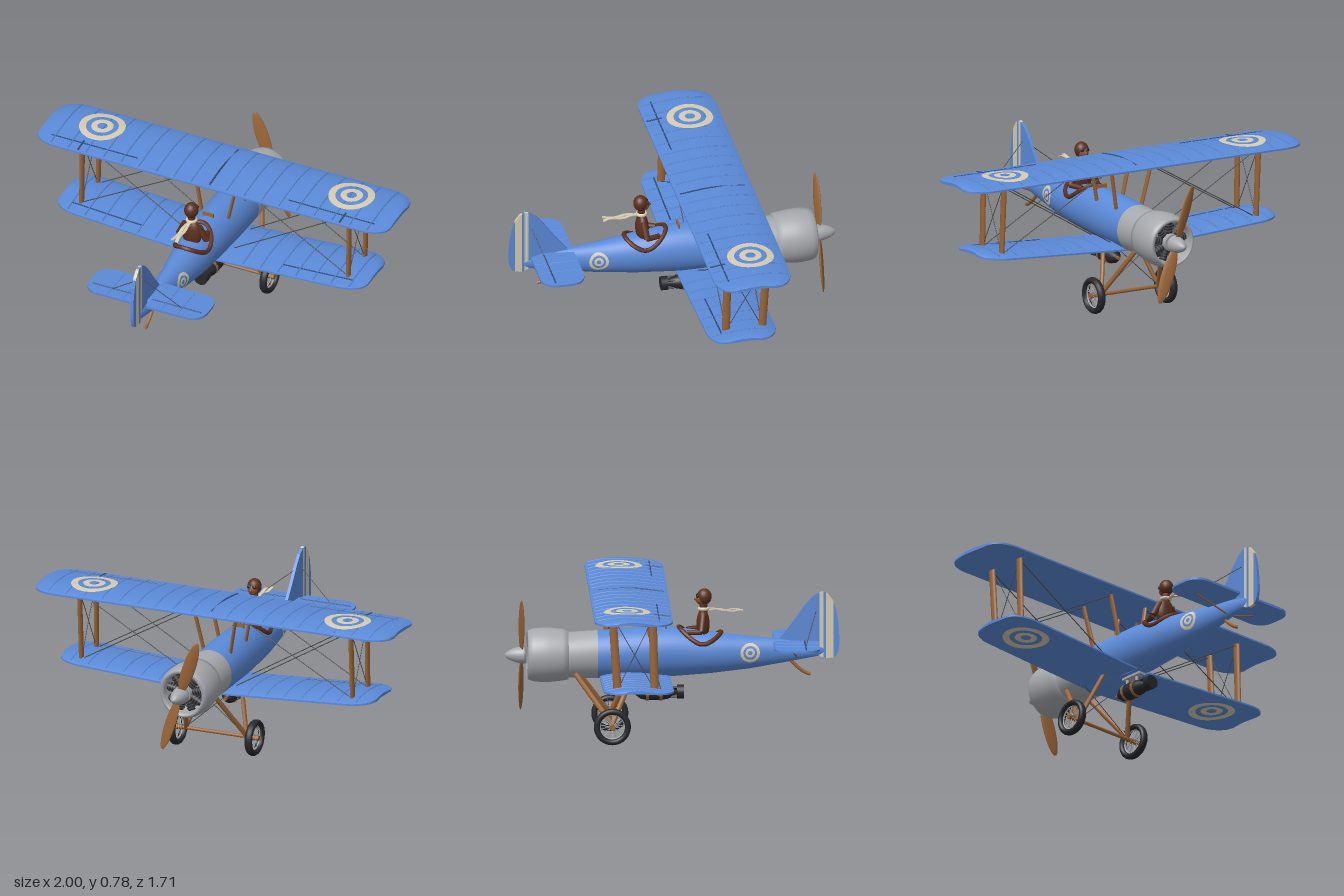
import * as THREE from 'three';
import { toCreasedNormals } from 'three/addons/utils/BufferGeometryUtils.js';

const paint = (name, color, side = THREE.FrontSide) => {
  const m = new THREE.MeshStandardMaterial({ color, side });
  m.name = name;
  return m;
};
const V = (x, y, z) => new THREE.Vector3(x, y, z);

export function createModel() {
  const blue = paint('blue fabric', 0x5b8ad8);
  const seam = paint('dark blue seam', 0x33507f);
  const cream = paint('cream', 0xd6ccb2, THREE.DoubleSide);
  const metal = paint('grey metal', 0xa6a9ad, THREE.DoubleSide);
  const wood = paint('wood', 0x9a6537);
  const leather = paint('brown leather', 0x5c301e);
  const skin = paint('skin', 0x8a5034);
  const black = paint('black', 0x28282d);
  const wire = paint('wire grey', 0x4a4a4c);

  const model = new THREE.Group();
  model.name = 'biplane';
  const add = (name, geo, mat, parent = model) => {
    const m = new THREE.Mesh(geo, mat);
    m.name = name;
    parent.add(m);
    return m;
  };
  const unitRod = new THREE.CylinderGeometry(1, 1, 1, 10);
  const rod = (name, a, b, rx, mat, rz = rx, parent = model) => {
    const m = add(name, unitRod, mat, parent), d = b.clone().sub(a);
    m.position.copy(a).add(b).multiplyScalar(0.5);
    m.scale.set(rx, d.length(), rz);
    m.quaternion.setFromUnitVectors(V(0, 1, 0), d.normalize());
    return m;
  };
  // Skin over a row of closed loops, with both ends capped
  const loft = (loops, crease = 0.7) => {
    const n = loops[0].length, idx = [], last = (loops.length - 1) * n;
    for (let j = 0; j < loops.length - 1; j++) for (let i = 0; i < n; i++) {
      const a = j * n + i, b = j * n + (i + 1) % n;
      idx.push(a, b, a + n, b, b + n, a + n);
    }
    for (let i = 1; i < n - 1; i++) idx.push(0, i + 1, i, last, last + i, last + i + 1);
    const g = new THREE.BufferGeometry().setFromPoints(loops.flat());
    g.setIndex(idx);
    return toCreasedNormals(g, crease);
  };
  const lerpTable = (rows, t) => {
    let k = 0;
    while (k < rows.length - 2 && t > rows[k + 1][0]) k++;
    const f = (t - rows[k][0]) / (rows[k + 1][0] - rows[k][0]);
    return rows[k].map((v, i) => v + (rows[k + 1][i] - v) * f);
  };
  const latheZ = (pts, seg = 40) =>
    new THREE.LatheGeometry(pts.map(p => new THREE.Vector2(...p)), seg).rotateX(Math.PI / 2);

  // Fuselage: z, top, bottom, half width
  const body = [[-0.56, 0.55, 0.318, 0.118], [-0.38, 0.56, 0.315, 0.118], [-0.2, 0.573, 0.315, 0.117],
    [0, 0.577, 0.322, 0.11], [0.2, 0.552, 0.337, 0.094], [0.4, 0.527, 0.36, 0.065],
    [0.6, 0.508, 0.395, 0.035], [0.78, 0.475, 0.428, 0.008]];
  const bodyLoop = z => {
    const [, t, b, w] = lerpTable(body, z);
    return Array.from({ length: 36 }, (_, i) => {
      const a = i / 18 * Math.PI;
      return V(w * Math.cos(a), (t + b) / 2 + (t - b) / 2 * Math.sin(a), z);
    });
  };
  add('nose panel', loft([-0.56, -0.47, -0.38].map(bodyLoop)), metal);
  add('fuselage', loft([-0.38, -0.2, 0, 0.1, 0.2, 0.3, 0.4, 0.5, 0.6, 0.7, 0.78].map(bodyLoop)), blue);

  // Cowling, radial engine, spinner and propeller
  const nose = new THREE.Group();
  nose.name = 'nose';
  nose.position.y = 0.435;
  model.add(nose);
  add('cowling', latheZ([[0.1, -0.58], [0.105, -0.72], [0.112, -0.742], [0.125, -0.735], [0.135, -0.71],
    [0.14, -0.66], [0.139, -0.62], [0.132, -0.56], [0.127, -0.53], [0.1, -0.53]]), metal, nose);
  add('firewall', new THREE.CylinderGeometry(0.11, 0.11, 0.02, 32).rotateX(Math.PI / 2), black, nose).position.z = -0.6;
  add('crankcase', new THREE.CylinderGeometry(0.045, 0.045, 0.13, 24).rotateX(Math.PI / 2), metal, nose).position.z = -0.67;
  for (let i = 0; i < 9; i++) {
    const a = i / 9 * Math.PI * 2, at = r => V(Math.sin(a) * r, Math.cos(a) * r, -0.69);
    rod('engineCylinder', at(0.03), at(0.1), 0.019, black, 0.019, nose);
    for (const r of [0.055, 0.07, 0.085]) rod('coolingFin', at(r), at(r + 0.005), 0.024, wire, 0.024, nose);
  }
  add('spinner', latheZ([[0, -0.855], [0.014, -0.848], [0.028, -0.825], [0.039, -0.795], [0.045, -0.76], [0.045, -0.745], [0, -0.745]]), metal, nose);
  const prop = new THREE.Group();
  prop.name = 'propeller';
  prop.position.z = -0.77;
  prop.rotation.z = 0.32;
  nose.add(prop);
  for (const s of [1, -1]) {
    const blade = add('propellerBlade', new THREE.SphereGeometry(1, 24, 16), wood, prop);
    blade.scale.set(0.034, 0.15, 0.009);
    blade.position.y = s * 0.165;
    blade.rotation.y = s * 0.35;
  }

  // Wings: cambered sections with rounded tips
  const wing = (name, tip, z0, z1, base) => {
    const edge = x => {
      const t = Math.min(1, (tip - Math.abs(x)) / 0.13), k = 1 - Math.sqrt(Math.max(0, 1 - (1 - t) ** 2));
      return [z0 + 0.1 * k, z1 - 0.08 * k];
    };
    const camber = (x, u) => 0.024 * Math.sin(Math.PI * u ** 0.75) * (edge(x)[1] - edge(x)[0]) / (z1 - z0);
    const uAt = (x, z) => (z - edge(x)[0]) / (edge(x)[1] - edge(x)[0]);
    const top = (x, z) => base(x) + camber(x, uAt(x, z)) + 0.009;
    const under = (x, z) => base(x) + camber(x, uAt(x, z)) * 0.5;
    const loop = x => {
      const [a, b] = edge(x), us = [0, 0.04, 0.12, 0.25, 0.4, 0.55, 0.7, 0.85, 1], z = u => a + (b - a) * u;
      return [...us.map(u => V(x, top(x, z(u)), z(u))), ...us.reverse().map(u => V(x, under(x, z(u)), z(u)))];
    };
    const build = (xa, xb) => {
      const xs = [0, 0.01, 0.03, 0.06, 0.1, 0.13].map(t => tip - t);
      const all = [...xs.map(x => -x), xa, xb, ...xs].filter(x => x >= xa && x <= xb);
      add(name, loft([...new Set(all)].sort((p, q) => p - q).map(loop)), blue);
    };
    // A thin line lying on the upper skin
    const line = (label, pts, r, mat) => add(label, new THREE.TubeGeometry(
      new THREE.CatmullRomCurve3(pts.map(([x, z]) => V(x, top(x, z), z))), 10, r, 5), mat);
    const rib = x => {
      const [a, b] = edge(x);
      line('wingRib', [0.03, 0.15, 0.3, 0.5, 0.75, 0.97].map(u => [x, a + (b - a) * u]), 0.004, blue);
    };
    return { build, top, under, line, rib };
  };
  const upper = wing('upperWing', 1, -0.42, -0.02, () => 0.746);
  upper.build(-1, 1);
  const lower = wing('lowerWing', 0.88, -0.37, -0.01, x => 0.326 + 0.06 * (Math.abs(x) - 0.12));
  lower.build(0.04, 0.88);
  lower.build(-0.88, -0.04);
  upper.line('centreSeam', [[0, -0.38], [0, -0.2], [0, -0.04]], 0.005, seam);

  // Roundels: two cream rings laid on a surface
  const roundel = (size, place) => {
    for (const [a, b] of [[0.7, 1], [0.22, 0.48]]) {
      const g = new THREE.RingGeometry(a * size, b * size, 40, 3), p = g.attributes.position;
      for (let i = 0; i < p.count; i++) p.setXYZ(i, ...place(p.getX(i), p.getY(i)));
      g.computeVertexNormals();
      add('roundel', g, cream);
    }
  };

  for (const s of [1, -1]) {
    for (let i = 1; i < 10; i++) upper.rib(s * i * 0.1);
    for (let i = 2; i < 9; i++) lower.rib(s * i * 0.1);
    upper.line('aileronHinge', [[s * 0.43, -0.09], [s * 0.92, -0.09]], 0.004, seam);
    upper.line('aileronHorn', [[s * 0.745, -0.11], [s * 0.745, -0.03]], 0.005, seam);
    lower.line('aileronHinge', [[s * 0.4, -0.08], [s * 0.8, -0.08]], 0.004, seam);
    roundel(0.12, (x, y) => [s * 0.71 + x, upper.top(s * 0.71 + x, -0.25 - y) + 0.004, -0.25 - y]);
    roundel(0.12, (x, y) => [s * 0.65 + x, lower.under(s * 0.65 + x, -0.19 + y) - 0.003, -0.19 + y]);
    roundel(0.05, (x, y) => {
      const z = 0.4 - s * x, [, t, b, w] = lerpTable(body, z);
      const k = (0.45 + y - (t + b) / 2) / ((t - b) / 2);
      return [s * (w * Math.sqrt(Math.max(0, 1 - k * k)) + 0.004), 0.45 + y, z];
    });

    // Interplane and cabane struts with bracing wires
    for (const [zl, zu] of [[-0.11, -0.12], [-0.3, -0.325]]) {
      rod('interplaneStrut', V(s * 0.76, 0.375, zl), V(s * 0.76, 0.755, zu), 0.011, wood, 0.021);
      rod('cabaneStrut', V(s * 0.075, 0.53, zl), V(s * 0.12, 0.755, zu), 0.008, wood, 0.014);
      rod('bracingWire', V(s * 0.11, 0.36, zl), V(s * 0.76, 0.75, zu), 0.0025, wire);
      rod('bracingWire', V(s * 0.12, 0.75, zu), V(s * 0.76, 0.38, zl), 0.0025, wire);
    }
    rod('strutWire', V(s * 0.76, 0.38, -0.11), V(s * 0.76, 0.75, -0.32), 0.002, wire);
    rod('strutWire', V(s * 0.76, 0.38, -0.3), V(s * 0.76, 0.75, -0.12), 0.002, wire);

    // Landing gear
    rod('gearStrut', V(s * 0.17, 0.1, -0.31), V(s * 0.09, 0.35, -0.2), 0.011, wood, 0.014);
    rod('gearStrut', V(s * 0.17, 0.1, -0.31), V(s * 0.08, 0.35, -0.495), 0.011, wood, 0.014);
    rod('gearWire', V(s * 0.17, 0.1, -0.31), V(-s * 0.09, 0.33, -0.35), 0.002, wire);
    const wheel = new THREE.Group();
    wheel.name = 'wheel';
    wheel.position.set(s * 0.215, 0.095, -0.31);
    model.add(wheel);
    add('tyre', new THREE.TorusGeometry(0.079, 0.016, 12, 40).rotateY(Math.PI / 2), black, wheel).scale.x = 1.3;
    add('rim', new THREE.TorusGeometry(0.064, 0.005, 8, 40).rotateY(Math.PI / 2), metal, wheel);
    rod('hub', V(-0.025, 0, 0), V(0.025, 0, 0), 0.014, wood, 0.014, wheel);
    for (let i = 0; i < 18; i++) {
      const a = i / 9 * Math.PI;
      rod('spoke', V(i % 2 ? 0.014 : -0.014, 0, 0), V(0, Math.cos(a) * 0.066, Math.sin(a) * 0.066), 0.0018, metal, 0.0018, wheel);
    }
    // Tail bracing
    rod('tailBrace', V(s * 0.02, 0.42, 0.64), V(s * 0.21, 0.495, 0.6), 0.004, wood);
    rod('tailWire', V(s * 0.2, 0.5, 0.68), V(0, 0.66, 0.74), 0.002, wire);
    rod('elevatorHinge', V(s * 0.03, 0.503, 0.68), V(s * 0.31, 0.503, 0.68), 0.004, seam);
    for (const x of [0.11, 0.2]) rod('tailRib', V(s * x, 0.502, 0.53), V(s * x, 0.502, 0.74), 0.004, blue);
  }
  rod('axle', V(-0.22, 0.095, -0.31), V(0.22, 0.095, -0.31), 0.009, wood);

  // Tailplane
  const t = new THREE.Shape();
  t.moveTo(-0.25, 0.52).lineTo(0.25, 0.52).quadraticCurveTo(0.335, 0.525, 0.335, 0.61).lineTo(0.335, 0.67)
    .quadraticCurveTo(0.33, 0.74, 0.26, 0.75).lineTo(0.03, 0.75).lineTo(0.015, 0.7).lineTo(-0.015, 0.7)
    .lineTo(-0.03, 0.75).lineTo(-0.26, 0.75).quadraticCurveTo(-0.33, 0.74, -0.335, 0.67)
    .lineTo(-0.335, 0.61).quadraticCurveTo(-0.335, 0.525, -0.25, 0.52);
  add('tailplane', new THREE.ExtrudeGeometry(t, { depth: 0.012, bevelEnabled: false, curveSegments: 8 })
    .rotateX(Math.PI / 2).translate(0, 0.503, 0), blue);

  // Fin and striped rudder, cut into upright slices: z, top, bottom
  const fin = [[0.55, 0.51, 0.49], [0.62, 0.6, 0.48], [0.68, 0.685, 0.46], [0.72, 0.73, 0.44], [0.75, 0.75, 0.425], [0.775, 0.756, 0.415],
    [0.8, 0.745, 0.41], [0.825, 0.712, 0.415], [0.842, 0.66, 0.425], [0.852, 0.6, 0.445], [0.858, 0.52, 0.48]];
  for (const [a, b, mat] of [[0.55, 0.757, blue], [0.757, 0.776, cream], [0.776, 0.79, blue], [0.79, 0.828, cream], [0.828, 0.858, blue]]) {
    const zs = [a, ...fin.map(r => r[0]).filter(z => z > a && z < b), b].map(z => lerpTable(fin, z));
    const s = new THREE.Shape([...zs.map(r => new THREE.Vector2(r[0], r[2])), ...zs.reverse().map(r => new THREE.Vector2(r[0], r[1]))]);
    add(mat === blue ? 'fin' : 'rudderStripe', new THREE.ExtrudeGeometry(s, { depth: 0.016, bevelEnabled: false })
      .rotateY(-Math.PI / 2).translate(0.008, 0, 0), mat);
  }
  add('tailSkid', new THREE.TubeGeometry(new THREE.CatmullRomCurve3([V(0, 0.41, 0.6), V(0, 0.37, 0.64), V(0, 0.34, 0.68), V(0, 0.328, 0.71)]), 10, 0.009, 8), wood);

  // Cockpit rim following the fuselage, and windscreen
  const rim = Array.from({ length: 24 }, (_, i) => {
    const a = i / 12 * Math.PI, z = 0.145 + 0.108 * Math.cos(a), [, tp, b, w] = lerpTable(body, z), x = 0.088 * Math.sin(a);
    return V(x, (tp + b) / 2 + (tp - b) / 2 * Math.sqrt(Math.max(0, 1 - (x / w) ** 2)) + 0.004, z);
  });
  add('cockpitRim', new THREE.TubeGeometry(new THREE.CatmullRomCurve3(rim, true), 48, 0.012, 8, true), leather);
  add('windscreen', new THREE.BoxGeometry(0.06, 0.025, 0.008), wood).position.set(0, 0.582, -0.03);

  // Pilot
  const ball = (name, x, y, z, sx, sy, sz, mat) => {
    const m = add(name, new THREE.SphereGeometry(1, 20, 14), mat);
    m.position.set(x, y, z);
    m.scale.set(sx, sy, sz);
  };
  ball('pilotTorso', 0, 0.59, 0.16, 0.055, 0.08, 0.034, leather);
  rod('pilotNeck', V(0, 0.65, 0.163), V(0, 0.71, 0.163), 0.02, leather);
  ball('pilotHelmet', 0, 0.733, 0.167, 0.037, 0.042, 0.038, leather);
  ball('pilotFace', 0, 0.722, 0.152, 0.028, 0.032, 0.03, skin);
  ball('pilotNose', 0, 0.722, 0.123, 0.007, 0.009, 0.01, skin);
  for (const s of [1, -1]) {
    ball('goggle', s * 0.014, 0.738, 0.132, 0.012, 0.01, 0.007, black);
    rod('pilotUpperArm', V(s * 0.04, 0.638, 0.16), V(s * 0.078, 0.56, 0.15), 0.017, leather);
    rod('pilotForearm', V(s * 0.078, 0.56, 0.15), V(s * 0.05, 0.555, 0.08), 0.014, leather);
    // Scarf tails
    add('scarfTail', loft([0.185, 0.22, 0.25, 0.28, 0.31, 0.34, 0.365].map((z, i) => {
      const x = s * (0.004 + i * 0.0012), y = 0.668 + 0.006 * Math.sin(i * 1.5 + s) - i * 0.0012;
      return [V(x + 0.009, y - 0.002, z), V(x + 0.009, y + 0.002, z), V(x - 0.009, y + 0.002, z), V(x - 0.009, y - 0.002, z)];
    })), cream);
  }
  add('scarf', new THREE.TorusGeometry(0.022, 0.009, 8, 20).rotateX(Math.PI / 2), cream).position.set(0, 0.67, 0.163);

  // Bomb on its rack
  const bomb = new THREE.Group();
  bomb.name = 'bomb';
  bomb.position.y = 0.24;
  model.add(bomb);
  add('bombBody', latheZ([[0, -0.19], [0.015, -0.186], [0.035, -0.16], [0.043, -0.12], [0.043, -0.06], [0.036, -0.02], [0.02, 0.02], [0.014, 0.06], [0, 0.06]], 28), black, bomb);
  rod('bombFuse', V(0, 0, -0.18), V(0, 0, -0.205), 0.01, wood, 0.01, bomb);
  add('tailRing', new THREE.CylinderGeometry(0.036, 0.036, 0.035, 24).rotateX(Math.PI / 2), black, bomb).position.z = 0.045;
  for (const r of [0, Math.PI / 2]) {
    const f = add('bombFin', new THREE.BoxGeometry(0.07, 0.005, 0.06), black, bomb);
    f.position.z = 0.025;
    f.rotation.z = r + Math.PI / 4;
  }
  for (const z of [-0.055, -0.125]) {
    rod('bombBand', V(0, 0, z - 0.008), V(0, 0, z + 0.008), 0.045, wood, 0.045, bomb);
    rod('bombHanger', V(0, 0.03, z), V(0, 0.09, z), 0.008, metal, 0.008, bomb);
  }
  add('bombRack', new THREE.BoxGeometry(0.04, 0.012, 0.13), metal, bomb).position.set(0, 0.075, -0.08);
  return model;
}
